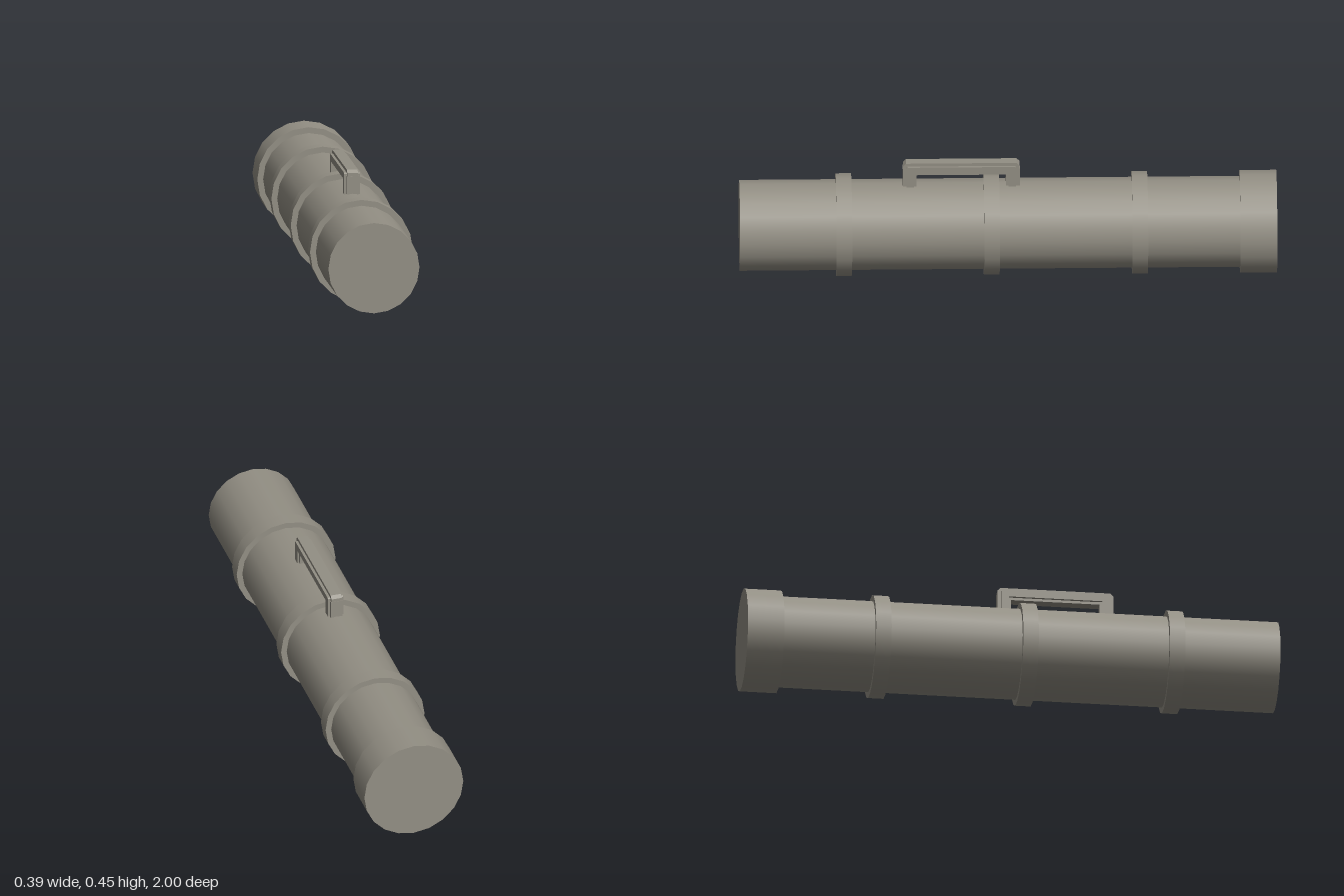
import * as THREE from 'three';

const AXIS_Y = 0.193;
const SIDES = 20;

export function createModel() {
  const model = new THREE.Group();
  const material = new THREE.MeshStandardMaterial({ color: 0x938f84 });

  const add = (name, geometry, parent = model) => {
    const mesh = new THREE.Mesh(geometry, material);
    mesh.name = name;
    parent.add(mesh);
  };

  // Cylinder lying along z between two stations
  const barrel = (name, radius, z0, z1) => {
    const g = new THREE.CylinderGeometry(radius, radius, z1 - z0, SIDES);
    g.rotateX(Math.PI / 2);
    g.translate(0, AXIS_Y, (z0 + z1) / 2);
    add(name, g);
  };

  // Main tube, raised bands and the wide rear cap
  barrel('tube', 0.171, -0.99, 1);
  barrel('rearCap', 0.193, -1, -0.863);
  [['frontBand', 0.612], ['middleBand', 0.062], ['rearBand', -0.49]].forEach(([name, z]) =>
    barrel(name, 0.193, z - 0.029, z + 0.029));

  // Carry handle: U-shaped brackets with chamfered corners, extruded across x
  const handle = new THREE.Group();
  handle.name = 'carryHandle';
  model.add(handle);
  const HANDLE_Z = 0.174;
  const BASE_Y = 0.355;
  const bracket = (name, halfWidth, outer, inner, chamfer) => {
    const { half: a, top: t } = outer;
    const { half: b, top: u } = inner;
    const points = [
      [-a, BASE_Y], [-b, BASE_Y], [-b, u], [b, u], [b, BASE_Y], [a, BASE_Y],
      [a, t - chamfer], [a - chamfer, t], [chamfer - a, t], [-a, t - chamfer],
    ].map(([z, y]) => new THREE.Vector2(z + HANDLE_Z, y));
    const g = new THREE.ExtrudeGeometry(new THREE.Shape(points), {
      depth: halfWidth * 2, bevelEnabled: false,
    });
    g.translate(0, 0, -halfWidth);
    g.rotateY(-Math.PI / 2);
    add(name, g, handle);
  };
  bracket('handleRib', 0.02, { half: 0.217, top: 0.453 }, { half: 0.167, top: 0.405 }, 0.011);
  bracket('handleFlange', 0.03, { half: 0.204, top: 0.441 }, { half: 0.176, top: 0.415 }, 0.004);

  // Slightly wider rib along each leg
  [['frontLegRib', 1], ['rearLegRib', -1]].forEach(([name, side]) => {
    const g = new THREE.BoxGeometry(0.045, 0.075, 0.052);
    g.translate(0, BASE_Y + 0.0375, HANDLE_Z + side * 0.192);
    add(name, g, handle);
  });

  return model;
}
